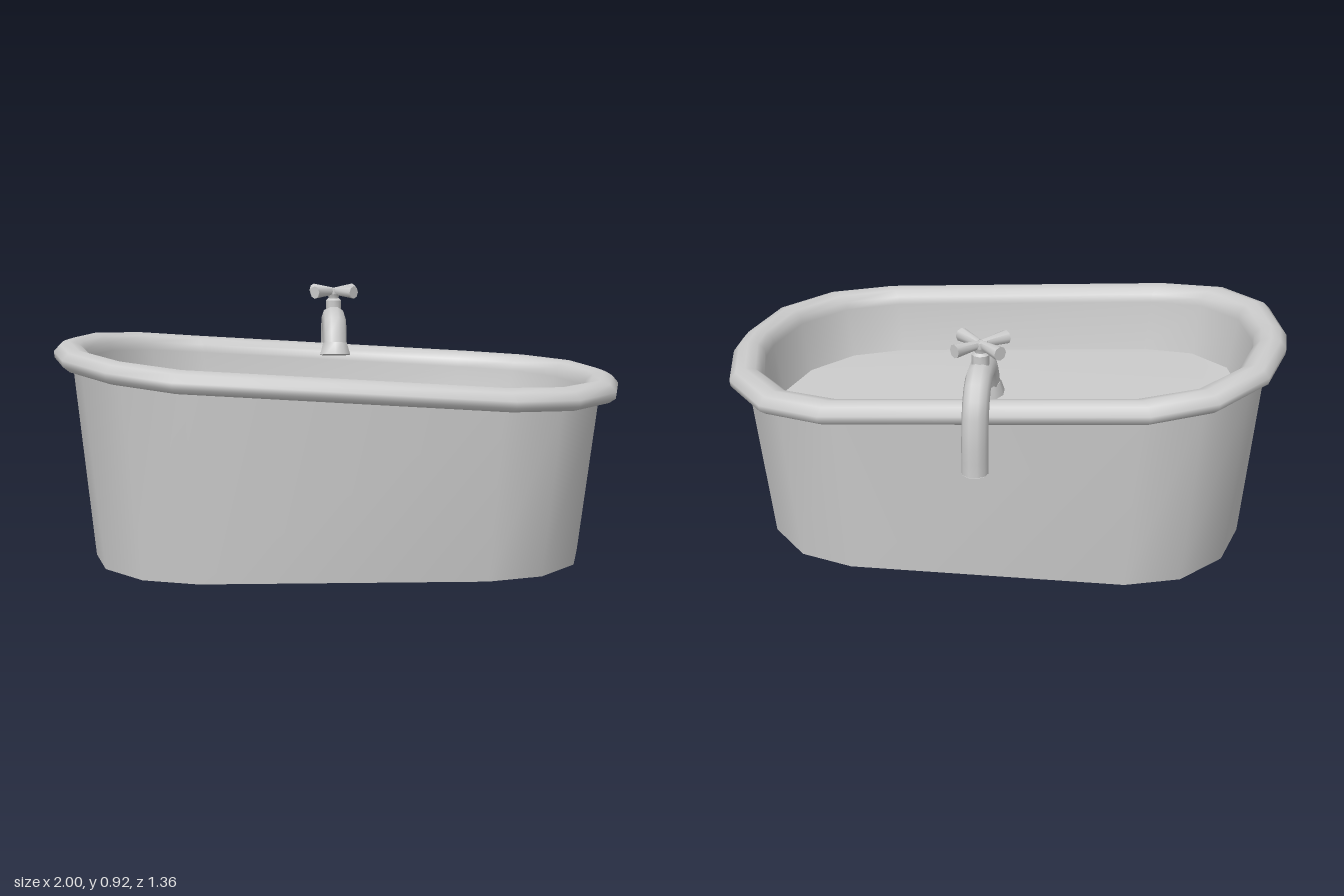
import * as THREE from 'three';
import { toCreasedNormals } from 'three/addons/utils/BufferGeometryUtils.js';

const CENTRE_Z = 0.07;
const HALF_Z = 0.613;
const material = new THREE.MeshStandardMaterial({ color: 0xcccccc, side: THREE.DoubleSide });

// One quadrant of the rim's outer outline, mirrored into a 16 point loop.
const quadrant = [[1, 0.065], [0.94, 0.335], [0.78, 0.535], [0.56, HALF_Z]];
const reversed = [...quadrant].reverse();
const outline = [
  ...quadrant,
  ...reversed.map(([x, z]) => [-x, z]),
  ...quadrant.map(([x, z]) => [-x, -z]),
  ...reversed.map(([x, z]) => [x, -z]),
];
// The outline drawn in by dx at the ends and dz at the sides.
const inset = (dx, dz) => outline.map(([x, z]) => [x * (1 - dx), z * (1 - dz / HALF_Z)]);

// Height of the rim's centre line along the tub: raised at the backrest end.
const sweep = [[-1, 0.733], [-0.94, 0.73], [-0.78, 0.712], [-0.56, 0.688], [0.56, 0.62], [0.78, 0.613], [1, 0.612]];
function rimHeight(x) {
  const i = Math.max(1, sweep.findIndex((p) => p[0] >= x));
  const [x0, y0] = sweep[i - 1], [x1, y1] = sweep[i];
  return y0 + (y1 - y0) * (x - x0) / (x1 - x0);
}

function mesh(name, geometry) {
  const m = new THREE.Mesh(geometry, material);
  m.name = name;
  return m;
}

// Skin a stack of loops; each row is [dx, dz, height rule by x].
function loft(name, rows) {
  const n = outline.length, pos = [], index = [];
  for (const [dx, dz, height] of rows) {
    for (const [x, z] of inset(dx, dz)) pos.push(x, height(x), z + CENTRE_Z);
  }
  for (let i = 0; i < rows.length - 1; i++) {
    for (let j = 0; j < n; j++) {
      const a = i * n + j, b = i * n + (j + 1) % n, c = a + n, e = b + n;
      index.push(a, c, b, b, c, e);
    }
  }
  const g = new THREE.BufferGeometry();
  g.setAttribute('position', new THREE.Float32BufferAttribute(pos, 3));
  g.setIndex(index);
  return mesh(name, toCreasedNormals(g, 1.1));
}

// Panel filling the outline, bent to a height rule.
function panel(name, dx, dz, height, down) {
  const points = inset(dx, dz).map(([x, z]) => new THREE.Vector2(x, z));
  const g = new THREE.ShapeGeometry(new THREE.Shape(points));
  g.rotateX(down ? Math.PI / 2 : -Math.PI / 2);
  const p = g.attributes.position;
  for (let i = 0; i < p.count; i++) p.setXYZ(i, p.getX(i), height(p.getX(i)), p.getZ(i) + CENTRE_Z);
  g.computeVertexNormals();
  return mesh(name, g);
}

function createTub() {
  const tub = new THREE.Group();
  tub.name = 'tub';
  const at = (dy) => (x) => rimHeight(x) + dy;
  const bottom = (x) => 0.135 + 0.04 * x;

  tub.add(loft('outerWall', [[0.135, 0.095, () => 0], [0.063, 0.052, at(-0.02)]]));

  // Rolled rim from under the lip, over the top and down into the tapering basin.
  const lip = [[0.07, -0.036], [0.025, -0.038], [0.003, -0.022], [0, 0], [0.022, 0.026],
    [0.055, 0.038], [0.09, 0.03], [0.113, 0.01]];
  tub.add(loft('rimAndBasin', [
    ...lip.map(([d, dy]) => [d, d * 0.9, at(dy)]),
    [0.118, 0.103, at(-0.02)],
    [0.152, 0.127, at(-0.205)],
    [0.235, 0.19, bottom],
  ]));
  tub.add(panel('waterSurface', 0.152, 0.127, at(-0.205), false));
  tub.add(panel('basinUnderside', 0.235, 0.19, bottom, true));
  return tub;
}

function createTap() {
  const tap = new THREE.Group();
  tap.name = 'tap';
  tap.position.x = 0.008;

  // Bent pipe rising behind the rim and arching over it.
  const points = [[0.495, -0.638], [0.63, -0.632], [0.725, -0.61], [0.784, -0.555], [0.793, -0.48],
    [0.785, -0.415], [0.745, -0.375], [0.69, -0.354]].map(([y, z]) => new THREE.Vector3(0, y, z));
  const curve = new THREE.CatmullRomCurve3(points);
  tap.add(mesh('pipe', new THREE.TubeGeometry(curve, 12, 0.045, 10, false)));
  const cap = mesh('pipeEnd', new THREE.CircleGeometry(0.045, 10));
  cap.rotation.x = Math.PI / 2;
  cap.position.copy(points[0]);
  tap.add(cap);

  const nozzle = mesh('nozzle', toCreasedNormals(new THREE.CylinderGeometry(0.047, 0.06, 0.045, 10), 0.8));
  nozzle.position.set(0, 0.685, -0.352);
  nozzle.rotation.x = -0.17;
  tap.add(nozzle);

  // Stem with a neck below the handle.
  const stem = [[0.03, 0.81], [0.03, 0.86], [0.02, 0.868], [0.022, 0.878], [0.026, 0.885], [0.024, 0.904], [0, 0.908]];
  const stemMesh = mesh('stem', toCreasedNormals(
    new THREE.LatheGeometry(stem.map(([r, y]) => new THREE.Vector2(r, y)), 10), 0.8));
  stemMesh.position.z = -0.495;
  tap.add(stemMesh);

  // Cross handle: four flared arms on the diagonals.
  const armGeometry = toCreasedNormals(new THREE.CylinderGeometry(0.024, 0.014, 0.1, 8), 0.8);
  armGeometry.rotateZ(-Math.PI / 2).translate(0.056, 0, 0);
  for (let i = 0; i < 4; i++) {
    const arm = mesh('handleArm', armGeometry);
    arm.position.set(0, 0.895, -0.495);
    arm.rotation.y = Math.PI / 4 + i * Math.PI / 2;
    tap.add(arm);
  }
  return tap;
}

export function createModel() {
  const model = new THREE.Group();
  model.name = 'bathtub';
  model.add(createTub(), createTap());
  return model;
}
